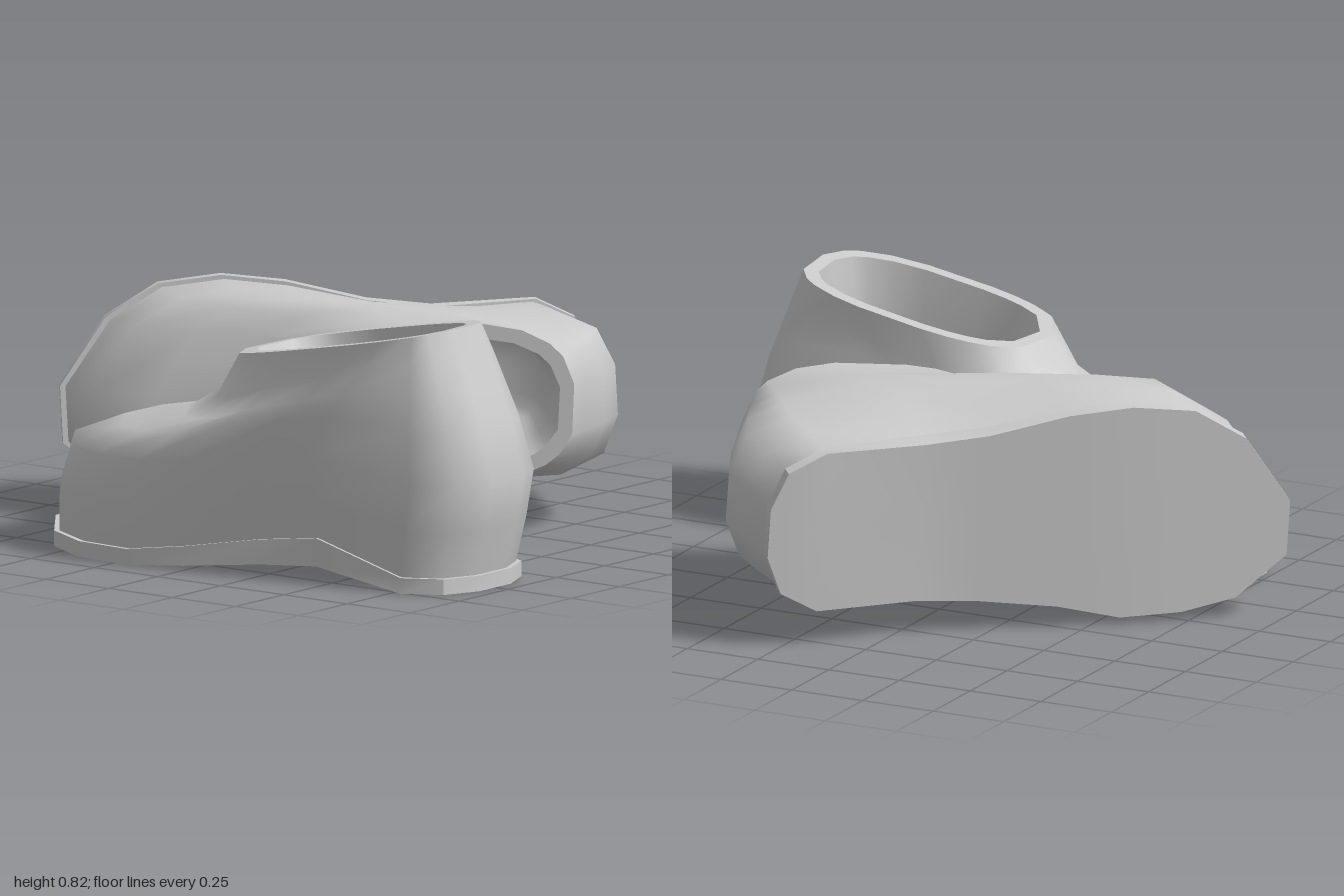
import * as THREE from 'three';
import { toCreasedNormals } from 'three/addons/utils/BufferGeometryUtils.js';

const { lerp, smoothstep } = THREE.MathUtils;
const material = new THREE.MeshStandardMaterial({ color: 0xcccccc });

// Sole stations from heel to toe: z, outer x, inner x, arch amount
const stations = [
  [0.95, -0.58, -0.42, 0], [0.90, -0.70, -0.30, 0], [0.78, -0.765, -0.24, 0], [0.45, -0.77, -0.25, 1],
  [0.25, -0.80, -0.25, 0.75], [0.0, -0.87, -0.235, 0.3], [-0.2, -0.90, -0.20, 0], [-0.4, -0.885, -0.215, 0],
  [-0.57, -0.79, -0.26, 0], [-0.725, -0.58, -0.40, 0],
];
// Closed outline (x, z, arch): along the outer side to the toe and back on the inner side
const outline = [
  ...stations.map(([z, outer, , arch]) => [outer, z, arch]),
  ...stations.map(([z, , inner, arch]) => [inner, z, arch]).reverse(),
];

// Profiles from sole to rim: inward fraction and height, at the toe and at the heel
const toeIn = [0, 0.01, 0.08, 0.36, 0.69, 0.87, 1];
const toeHeight = [0.04, 0.18, 0.33, 0.41, 0.46, 0.535, 0.67];
const heelIn = [0, 0, 0, 0.25, 0.5, 0.75, 1];
const heelHeight = [0.04, 0.2, 0.35, 0.52, 0.62, 0.72, 0.82];
const heelBulge = [0, 0.04, 0.07, 0.045, 0.03, 0.015, 0];
const outerBulge = [0, 0.02, 0.04, 0.04, 0.03, 0.01, 0];

// Point of the slanted, rounded-rectangle opening that belongs to an outline point
function rimPoint([x, z], inset) {
  const a = Math.atan2((z - 0.1) / 0.85, (x + 0.54) / 0.35);
  const power = (v) => Math.sign(v) * Math.abs(v) ** 0.75;
  const pz = 0.44 + (0.41 - inset) * power(Math.sin(a));
  return [-0.535 + (0.255 - inset) * power(Math.cos(a)), 0.67 + (pz - 0.03) * 0.185, pz];
}

// Skin over closed rings with the same number of points
function loft(rings) {
  const n = rings[0].length;
  const index = [];
  for (let k = 0; k < rings.length - 1; k++) {
    for (let i = 0; i < n; i++) {
      const a = k * n + i, b = k * n + (i + 1) % n;
      index.push(a, a + n, b, b, a + n, b + n);
    }
  }
  const geometry = new THREE.BufferGeometry();
  geometry.setAttribute('position', new THREE.Float32BufferAttribute(rings.flat(2), 3));
  geometry.setIndex(index);
  geometry.computeVertexNormals();
  return geometry;
}

function upperRing(k) {
  const width = k === 0 ? 0.96 : 0.99;
  return outline.map((p) => {
    const w = smoothstep(p[1], -0.65, 0.9);
    const rim = rimPoint(p, 0);
    const s = lerp(toeIn[k], heelIn[k], w);
    const bulge = p[0] < -0.54 ? outerBulge[k] * p[2] : 0;
    const x = lerp(-0.54 + (p[0] + 0.54) * width, rim[0], s) - bulge;
    const z = lerp(0.1 + (p[1] - 0.1) * 0.98, rim[2], s) + heelBulge[k] * smoothstep(p[1], 0.5, 0.95);
    const y = k === 6 ? rim[1] : lerp(toeHeight[k], heelHeight[k], w) + p[2] * 0.09 * (1 - k / 6);
    return [x, y, z];
  });
}

// Inside wall: tapers from the rim to the insole, sloping most at the front
function liningRing(inset, depth) {
  return outline.map((p) => {
    const [x, y, z] = rimPoint(p, inset);
    return [x, lerp(y, 0.14, depth), z + depth * 0.3 * (0.81 - z)];
  });
}

// Sole slab: each face spans from a centre spine to the outline
function soleGeometry() {
  const last = outline.length - 1;
  const edge = (y, lift) => outline.map(([x, z, arch]) => [x, y + arch * lift, z]);
  const spine = (y, lift) => outline.map(([x, z, arch], i) => [(x + outline[last - i][0]) / 2, y + arch * lift, z]);
  return toCreasedNormals(loft([spine(0, 0.05), edge(0, 0.05), edge(0.05, 0.09), spine(0.05, 0.09)]), 0.6);
}

function createShoe(name) {
  const shoe = new THREE.Group();
  shoe.name = name;
  const add = (partName, geometry) => {
    const mesh = new THREE.Mesh(geometry, material);
    mesh.name = partName;
    shoe.add(mesh);
  };
  add('sole', soleGeometry());
  add('upper', loft(toeIn.map((_, k) => upperRing(k))));
  add('rim', loft([upperRing(6), liningRing(0.045, 0)]));
  const floor = liningRing(0.09, 1);
  add('lining', loft([liningRing(0.045, 0), liningRing(0.065, 0.3), floor, floor.map(() => [-0.535, 0.14, 0.5])]));
  return shoe;
}

export function createModel() {
  const model = new THREE.Group();
  model.name = 'pairOfShoes';
  model.add(createShoe('standingShoe'));

  // Mirrored partner lying on its side, placed by the bottom of its heel
  const lying = new THREE.Group();
  lying.name = 'lyingShoe';
  const shoe = createShoe('mirroredShoe');
  shoe.scale.x = -1;
  shoe.position.set(-0.505, 0, -0.95);
  lying.add(shoe);
  const up = new THREE.Vector3(-0.756, 0.067, 0.652).normalize();
  const back = new THREE.Vector3(0.652, 0.05, 0.756);
  const side = new THREE.Vector3().crossVectors(up, back).normalize();
  back.crossVectors(side, up);
  lying.quaternion.setFromRotationMatrix(new THREE.Matrix4().makeBasis(side, up, back));
  lying.position.set(0.9, 0.385, 0.262);
  model.add(lying);
  return model;
}
